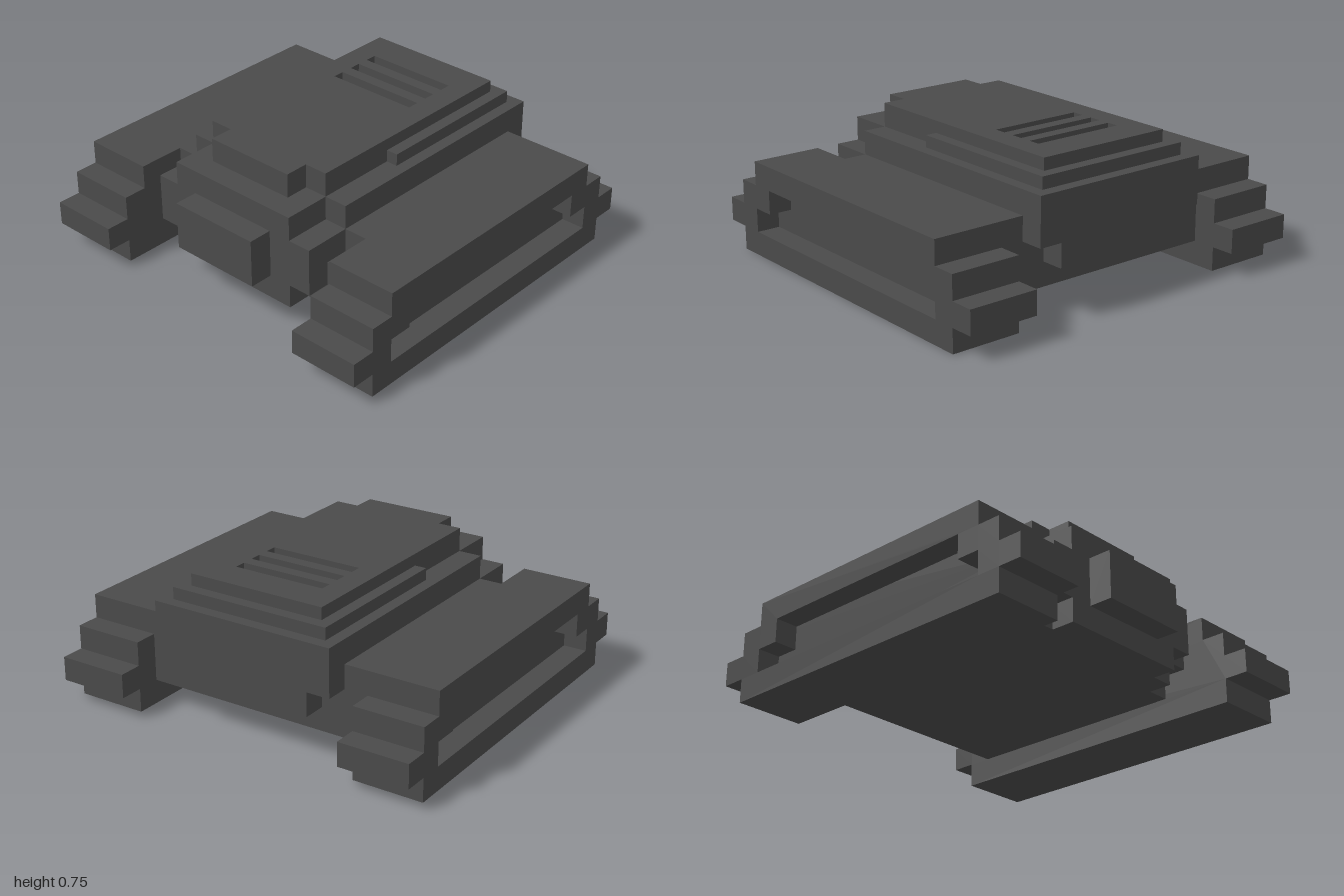
import * as THREE from 'three';

export function createModel() {
  const model = new THREE.Group();
  model.name = 'trackedVehicle';
  const darkGrey = new THREE.MeshStandardMaterial({ color: 0x4a4a4a });
  darkGrey.name = 'darkGrey';

  const add = (name, geometry, parent = model) => {
    const mesh = new THREE.Mesh(geometry, darkGrey);
    mesh.name = name;
    parent.add(mesh);
    return mesh;
  };
  const shapeOf = (pts) => new THREE.Shape(pts.map(([a, b]) => new THREE.Vector2(a, b)));
  // Completes an outline from its positive half
  const mirrored = (half) => [...half, ...half.map(([a, b]) => [-a, b]).reverse()];
  const extrude = (shape, depth) => new THREE.ExtrudeGeometry(shape, { depth, bevelEnabled: false });

  // Horizontal layer: half outline in (x, z), mirrored across x = 0
  function layer(name, y0, y1, half, holes = []) {
    const shape = shapeOf(mirrored(half));
    shape.holes = holes.map((h) => new THREE.Path(shapeOf(h).getPoints()));
    add(name, extrude(shape, y1 - y0).rotateX(Math.PI / 2).translate(0, y1, 0));
  }

  // Stepped hull
  layer('hullFloor', 0.125, 0.25, [
    [0.375, 0.75], [0.375, 0.625], [0.5, 0.625], [0.5, 0.5], [0.625, 0.5], [0.625, -0.75]]);
  layer('hullLower', 0.25, 0.375, [
    [0.5, 0.75], [0.5, 0.625], [0.625, 0.625], [0.625, -0.75], [0.375, -0.75], [0.375, -0.875]]);
  layer('hullMiddle', 0.375, 0.5, [
    [0.5, 0.75], [0.5, 0.5], [0.625, 0.5], [0.625, -0.75], [0.5, -0.75], [0.5, -0.875]]);
  layer('hullUpper', 0.5, 0.625, [
    [0.375, 0.75], [0.375, 0.5], [0.5, 0.5], [0.5, -0.875]]);

  // Raised deck with a narrow ledge around its rear
  layer('deckLedge', 0.625, 0.6875, [
    [0.25, 0.625], [0.25, 0.5], [0.375, 0.5], [0.375, 0.0625], [0.4375, 0.0625], [0.4375, -0.8125]]);
  // Top plate with three vent slots
  const slots = [-0.5625, -0.4375, -0.3125].map((z) => [
    [-0.25, z], [0.25, z], [0.25, z + 0.0625], [-0.25, z + 0.0625]]);
  layer('ventedDeck', 0.6875, 0.75, [
    [0.25, 0.625], [0.25, 0.5], [0.375, 0.5], [0.375, -0.75]], slots);

  // Front block
  add('nose', new THREE.BoxGeometry(0.5, 0.25, 0.125)).position.set(0, 0.375, 0.8125);

  // Tracks: solid inner part and an outer plate with a stepped recess
  const trackOutline = mirrored([
    [0.875, 0], [0.875, 0.125], [1, 0.125], [1, 0.25],
    [0.875, 0.25], [0.875, 0.375], [0.75, 0.375], [0.75, 0.5]]);
  const recess = mirrored([[0.75, 0.125], [0.75, 0.25], [0.625, 0.25], [0.625, 0.375]]);
  for (const [side, name] of [[1, 'leftTrack'], [-1, 'rightTrack']]) {
    const track = new THREE.Group();
    track.name = name;
    const outer = shapeOf(trackOutline);
    outer.holes.push(new THREE.Path(shapeOf(recess).getPoints()));
    add('trackCore', extrude(shapeOf(trackOutline), 0.25).translate(0, 0, 0.625).rotateY(side * Math.PI / 2), track);
    add('trackOuterPlate', extrude(outer, 0.125).translate(0, 0, 0.875).rotateY(side * Math.PI / 2), track);
    model.add(track);
  }
  return model;
}
